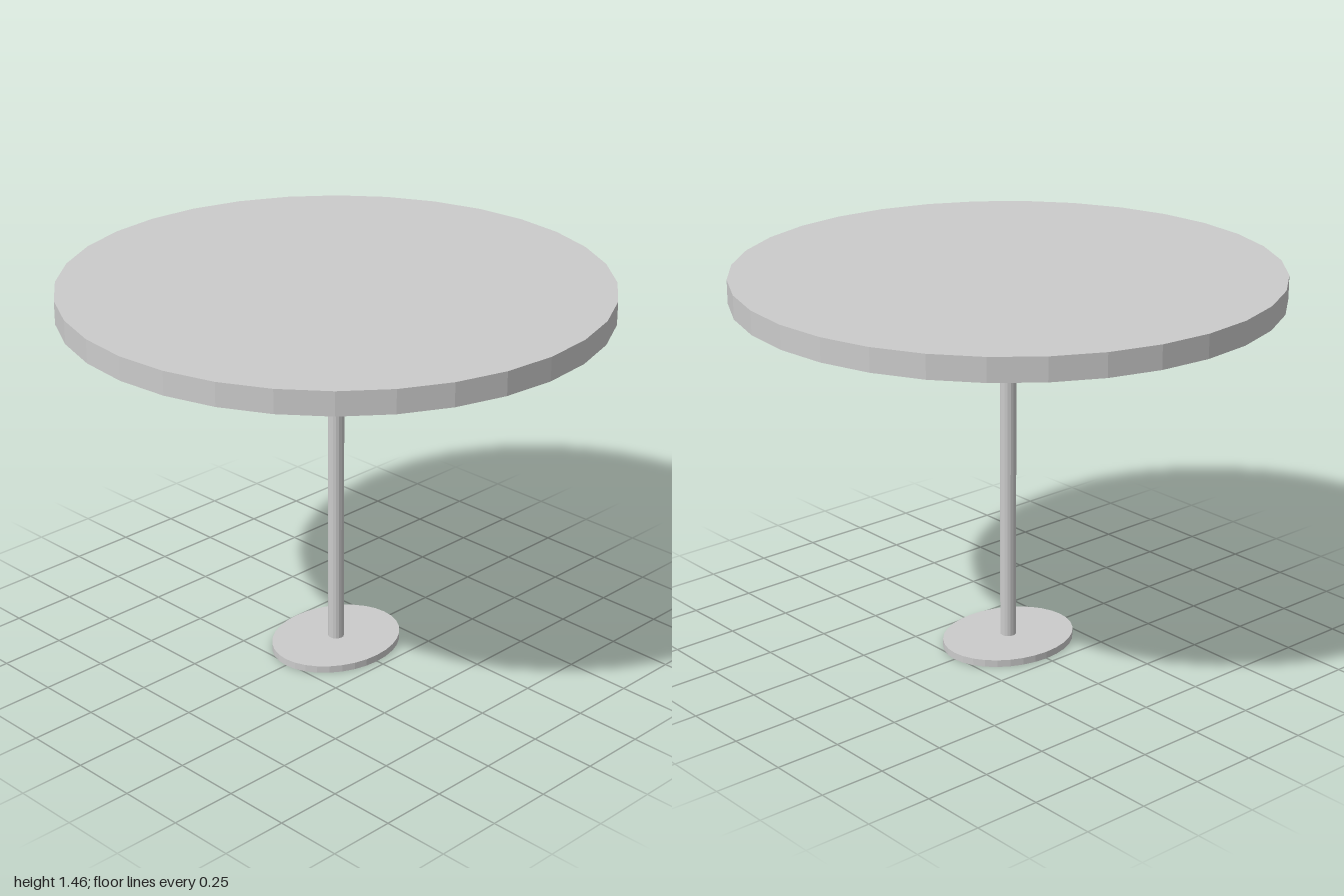
import * as THREE from 'three';

export function createModel() {
  const model = new THREE.Group();
  model.name = 'pedestalTable';
  const material = new THREE.MeshStandardMaterial({ color: 0xcccccc, flatShading: true });

  // Upright faceted disc or post between two heights, optionally oval
  function addCylinder(name, radiusX, radiusZ, bottom, top, sides) {
    const geometry = new THREE.CylinderGeometry(1, 1, top - bottom, sides);
    geometry.scale(radiusX, 1, radiusZ);
    const mesh = new THREE.Mesh(geometry, material);
    mesh.name = name;
    mesh.position.y = (bottom + top) / 2;
    model.add(mesh);
  }

  addCylinder('tableTop', 1, 1, 1.37, 1.457, 32);
  addCylinder('post', 0.03, 0.03, 0.027, 1.37, 16);
  addCylinder('ovalBase', 0.265, 0.219, 0, 0.027, 32);

  return model;
}
